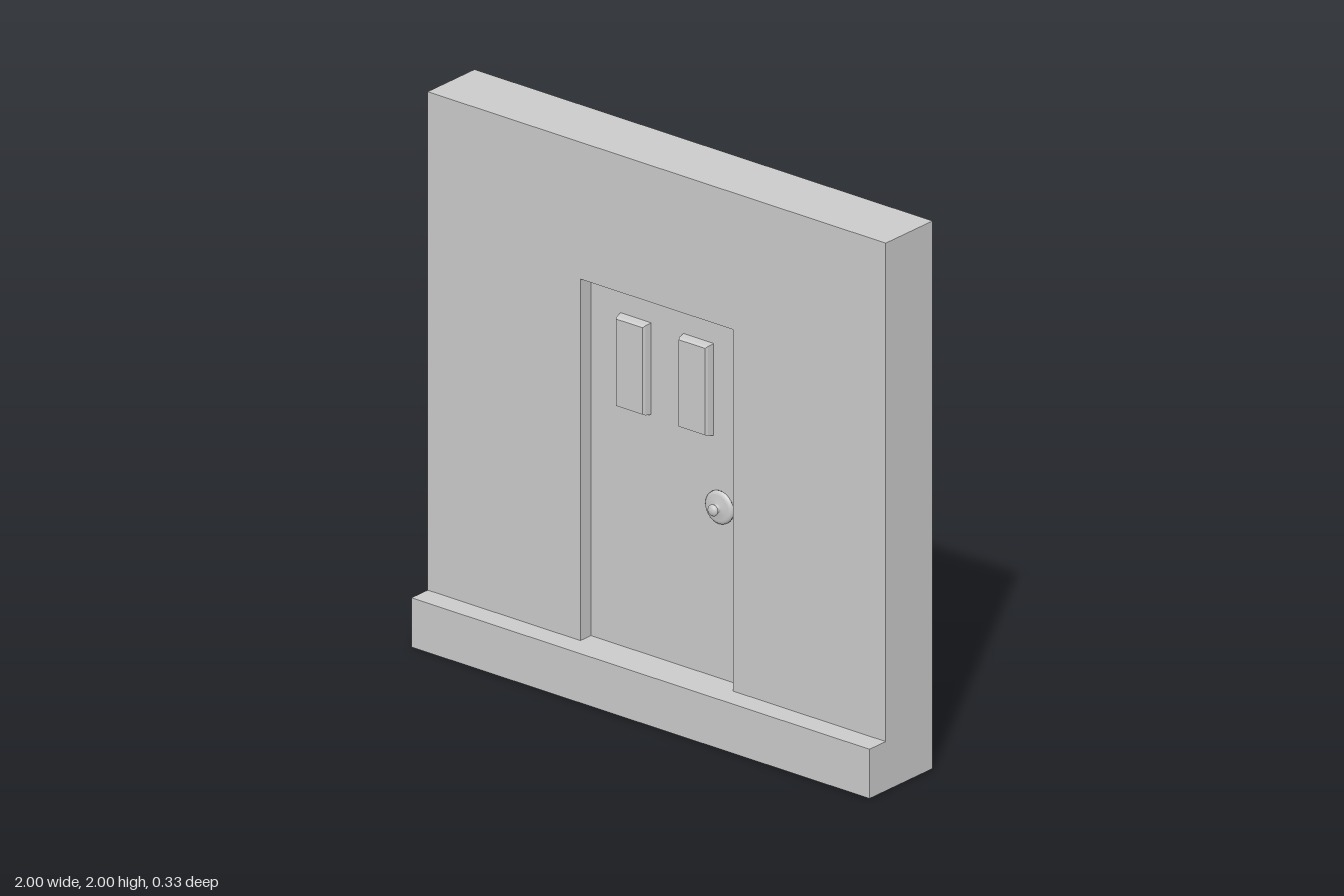
import * as THREE from 'three';

const material = new THREE.MeshStandardMaterial({ color: 0xcccccc, side: THREE.DoubleSide });

const BACK = -0.165, FRONT = 0.08, STEP = 0.165; // depths of wall and step
const DOOR = 0.025;                              // depth of the recessed door
const W = 0.333, SILL = 0.18, HEAD = 1.5;        // door opening

const outline = (points) => points.map(([x, y]) => new THREE.Vector2(x, y));

// Flat sheet cut from an outline, with optional holes
function sheet(points, holes = []) {
  const shape = new THREE.Shape(outline(points));
  holes.forEach((h) => shape.holes.push(h));
  return new THREE.ShapeGeometry(shape, 24);
}

// Rectangular strip lying flat (normal +y), spanning z0..z1
function ledge(width, z0, z1, y) {
  return new THREE.PlaneGeometry(width, z1 - z0).rotateX(-Math.PI / 2).translate(0, y, (z0 + z1) / 2);
}

// Wall face with a doorway notch rising from its lower edge
function notchedFace(bottom) {
  return sheet([[-1, bottom], [-W, bottom], [-W, HEAD], [W, HEAD], [W, bottom], [1, bottom], [1, 2], [-1, 2]]);
}

// Hollow raised pane: rectangles joined front to back, then capped
function raisedPane(w, h) {
  const rings = [[0, 0], [0.004, 0.025], [0.009, 0.035]];
  const pos = [], index = [];
  rings.forEach(([inset, z]) => {
    const a = w / 2 - inset, b = h / 2 - inset;
    pos.push(-a, -b, z, a, -b, z, a, b, z, -a, b, z);
  });
  for (let r = 0; r < rings.length - 1; r++) {
    for (let i = 0; i < 4; i++) {
      const a = r * 4 + i, b = r * 4 + (i + 1) % 4;
      index.push(a, b, b + 4, a, b + 4, a + 4);
    }
  }
  const c = (rings.length - 1) * 4;
  index.push(c, c + 1, c + 2, c, c + 2, c + 3);
  const indexed = new THREE.BufferGeometry();
  indexed.setAttribute('position', new THREE.Float32BufferAttribute(pos, 3));
  indexed.setIndex(index);
  const geometry = indexed.toNonIndexed();
  geometry.computeVertexNormals();
  return geometry;
}

export function createModel() {
  const model = new THREE.Group();
  model.name = 'doorwayWall';
  const add = (name, geometry, parent = model) => {
    const mesh = new THREE.Mesh(geometry, material);
    mesh.name = name;
    parent.add(mesh);
    return mesh;
  };

  // Hollow wall shell, open at the back behind the door
  add('frontWall', notchedFace(SILL).translate(0, 0, FRONT));
  add('backWall', notchedFace(0).rotateY(Math.PI).translate(0, 0, BACK));
  add('wallTop', ledge(2, BACK, FRONT, 2));
  add('base', ledge(2, -STEP, STEP, 0).rotateX(Math.PI));

  // Front step
  add('stepTop', ledge(2, FRONT, STEP, SILL));
  add('stepFront', new THREE.PlaneGeometry(2, SILL).translate(0, SILL / 2, STEP));

  // Stepped end faces
  const profile = [[-STEP, 0], [-BACK, 0], [-BACK, 2], [-FRONT, 2], [-FRONT, SILL], [-STEP, SILL]];
  add('rightEnd', sheet(profile).rotateY(Math.PI / 2).translate(1, 0, 0));
  add('leftEnd', sheet(profile.map(([z, y]) => [-z, y])).rotateY(-Math.PI / 2).translate(-1, 0, 0));

  // Shallow recess around the door
  const depth = FRONT - DOOR, midY = (SILL + HEAD) / 2, midZ = (FRONT + DOOR) / 2;
  for (const side of [-1, 1]) {
    add('doorJamb', new THREE.PlaneGeometry(depth, HEAD - SILL).rotateY(-side * Math.PI / 2).translate(side * W, midY, midZ));
  }
  add('doorSill', ledge(2 * W, DOOR, FRONT, SILL));
  add('doorHead', ledge(2 * W, -depth / 2, depth / 2, 0).rotateX(Math.PI).translate(0, HEAD, midZ));

  // Door sheet, open behind the panes and the knob
  const door = new THREE.Group();
  door.name = 'door';
  door.position.z = DOOR;
  model.add(door);
  const paneX = 0.1365, paneY = 1.2275, paneW = 0.133, paneH = 0.335;
  const knob = { x: 0.23, y: 0.805, r: 0.06 };
  const holes = [-1, 1].map((s) => new THREE.Path(outline([[-1, -1], [-1, 1], [1, 1], [1, -1]].map(
    ([u, v]) => [s * paneX + u * paneW / 2, paneY + v * paneH / 2]))));
  holes.push(new THREE.Path().absarc(knob.x, knob.y, knob.r, 0, Math.PI * 2, true));
  add('doorPanel', sheet([[-W, SILL], [W, SILL], [W, HEAD], [-W, HEAD]], holes), door);

  // Raised panes
  for (const s of [-1, 1]) {
    add('windowPane', raisedPane(paneW, paneH), door).position.set(s * paneX, paneY, 0);
  }

  // Round plate with a small knob
  const knobProfile = outline([
    [knob.r, 0], [0.059, 0.006], [0.054, 0.011], [0.046, 0.013], [0.018, 0.016],
    [0.014, 0.02], [0.014, 0.028], [0.02, 0.033], [0.021, 0.038], [0.017, 0.044], [0.009, 0.047], [0, 0.048],
  ]);
  add('doorKnob', new THREE.LatheGeometry(knobProfile, 32).rotateX(Math.PI / 2), door).position.set(knob.x, knob.y, 0);

  return model;
}
